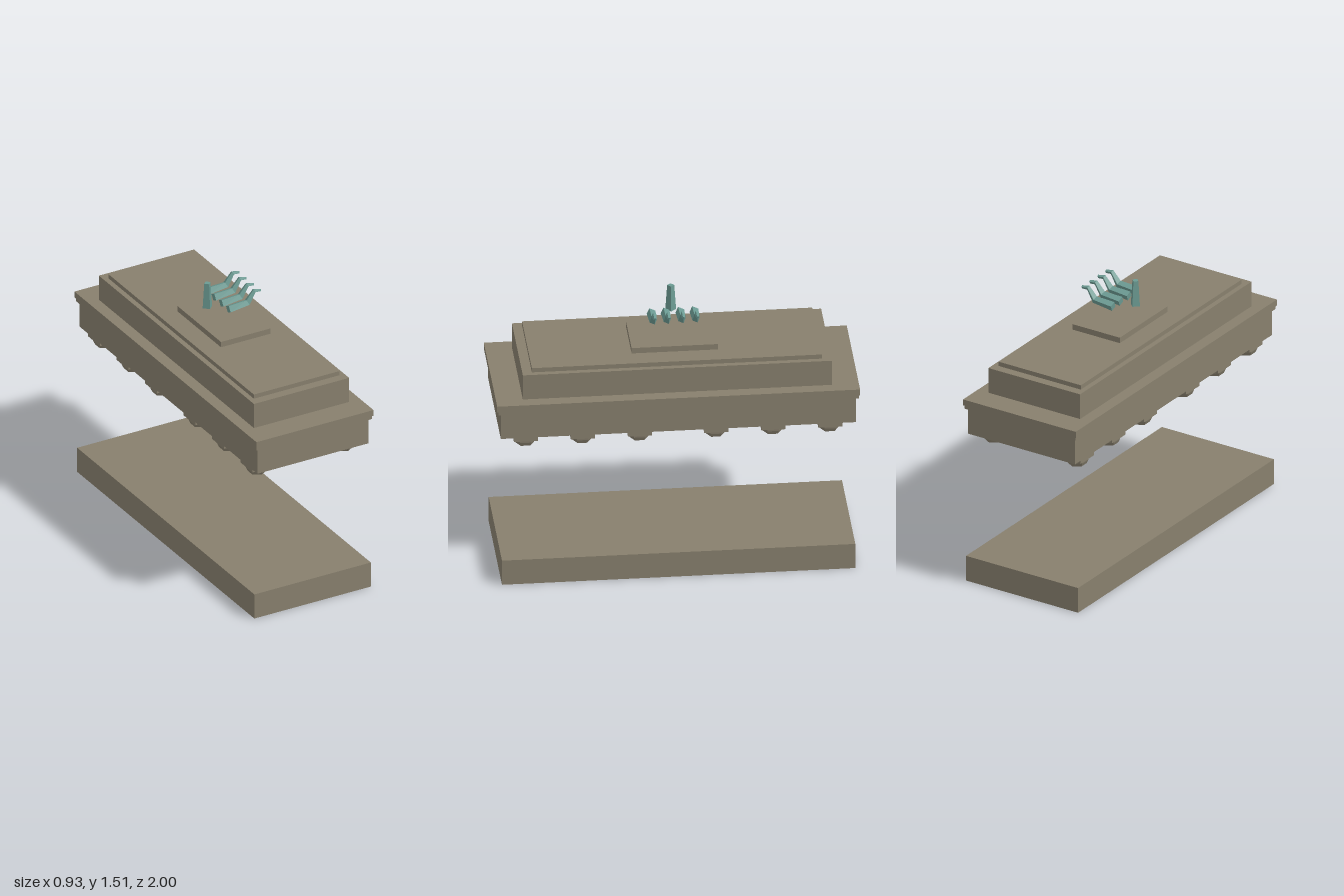
import * as THREE from 'three';

const hullMat = new THREE.MeshStandardMaterial({ color: 0x877f6d, flatShading: true });
const shellMat = new THREE.MeshStandardMaterial({ color: 0x877f6d, flatShading: true, side: THREE.DoubleSide });
const tealMat = new THREE.MeshStandardMaterial({ color: 0x6b9a92, flatShading: true });

function add(parent, name, geometry, material, x = 0, y = 0, z = 0) {
  const mesh = new THREE.Mesh(geometry, material);
  mesh.name = name;
  mesh.position.set(x, y, z);
  parent.add(mesh);
  return mesh;
}

// Box given by half width, half depth, bottom and top
function slab(parent, name, w, d, y0, y1) {
  return add(parent, name, new THREE.BoxGeometry(2 * w, y1 - y0, 2 * d), hullMat, 0, (y0 + y1) / 2, 0);
}

// Four-sided tapering finger; each station is [x, y, radius, slope of the path]
function fingerGeometry(stations) {
  const pos = [], index = [], twist = 0.35;
  for (const [x, y, r, slope] of stations) {
    for (let k = 0; k < 4; k++) {
      const a = twist + k * Math.PI / 2;
      const up = Math.cos(a) * r;
      pos.push(x - Math.sin(slope) * up, y + Math.cos(slope) * up, Math.sin(a) * r);
    }
  }
  const n = stations.length;
  for (let i = 0; i < n - 1; i++) {
    for (let k = 0; k < 4; k++) {
      const a = i * 4 + k, b = i * 4 + (k + 1) % 4;
      index.push(a, b, a + 4, b, b + 4, a + 4);
    }
  }
  const e = (n - 1) * 4;
  index.push(0, 2, 1, 0, 3, 2, e, e + 1, e + 2, e, e + 2, e + 3);
  const g = new THREE.BufferGeometry();
  g.setAttribute('position', new THREE.Float32BufferAttribute(pos, 3));
  g.setIndex(index);
  g.computeVertexNormals();
  return g;
}

export function createModel() {
  const model = new THREE.Group();
  model.name = 'hoveringPlatform';
  model.rotation.y = 0.115;

  // Ground tray: box with its underside left open
  const trayGeo = new THREE.BoxGeometry(0.712, 0.145, 1.881);
  const kept = Array.from(trayGeo.index.array);
  kept.splice(18, 6);
  trayGeo.setIndex(kept);
  trayGeo.clearGroups();
  add(model, 'groundTray', trayGeo, shellMat, 0, 0.0725, 0);

  // Stacked tiers of the floating body
  slab(model, 'hull', 0.34, 0.945, 0.87, 1.02);
  slab(model, 'lowerRim', 0.353, 0.96, 1.02, 1.04);
  slab(model, 'upperRim', 0.358, 0.966, 1.04, 1.075);
  slab(model, 'upperBody', 0.291, 0.823, 1.075, 1.22);
  slab(model, 'roofPlate', 0.262, 0.772, 1.22, 1.245);
  slab(model, 'hatch', 0.151, 0.23, 1.245, 1.277);

  // Two rows of thrusters: square plate with a hollow faceted nozzle
  const plateGeo = new THREE.BoxGeometry(0.128, 0.03, 0.128);
  const nozzleProfile = [[0.062, 0.842], [0.06, 0.826], [0.05, 0.805], [0.036, 0.805], [0.022, 0.828], [0, 0.828]]
    .map(([r, y]) => new THREE.Vector2(r, y - 0.842)).reverse();
  const nozzleGeo = new THREE.LatheGeometry(nozzleProfile, 6);
  for (const side of [-1, 1]) {
    for (const z of [-0.81, -0.507, -0.203, 0.203, 0.507, 0.81]) {
      const thruster = new THREE.Group();
      thruster.name = 'thruster';
      thruster.position.set(side * 0.264, 0, z);
      add(thruster, 'mountPlate', plateGeo, hullMat, 0, 0.856, 0);
      add(thruster, 'nozzle', nozzleGeo, shellMat, 0, 0.842, 0);
      model.add(thruster);
    }
  }

  // Floating hand above the hatch: one upright thumb and four bent fingers
  const hand = new THREE.Group();
  hand.name = 'hand';
  add(hand, 'thumb', new THREE.CylinderGeometry(0.019, 0.029, 0.145, 4), tealMat, -0.1, 1.4375, -0.003);
  const fingerGeo = fingerGeometry([
    [-0.036, 1.386, 0.025, 0.08],
    [0.08, 1.396, 0.021, 0.45],
    [0.122, 1.455, 0.013, 0.4],
    [0.16, 1.449, 0.009, -0.35],
  ]);
  for (const z of [-0.12, -0.045, 0.033, 0.108]) add(hand, 'finger', fingerGeo, tealMat, 0, 0, z);
  model.add(hand);

  return model;
}
